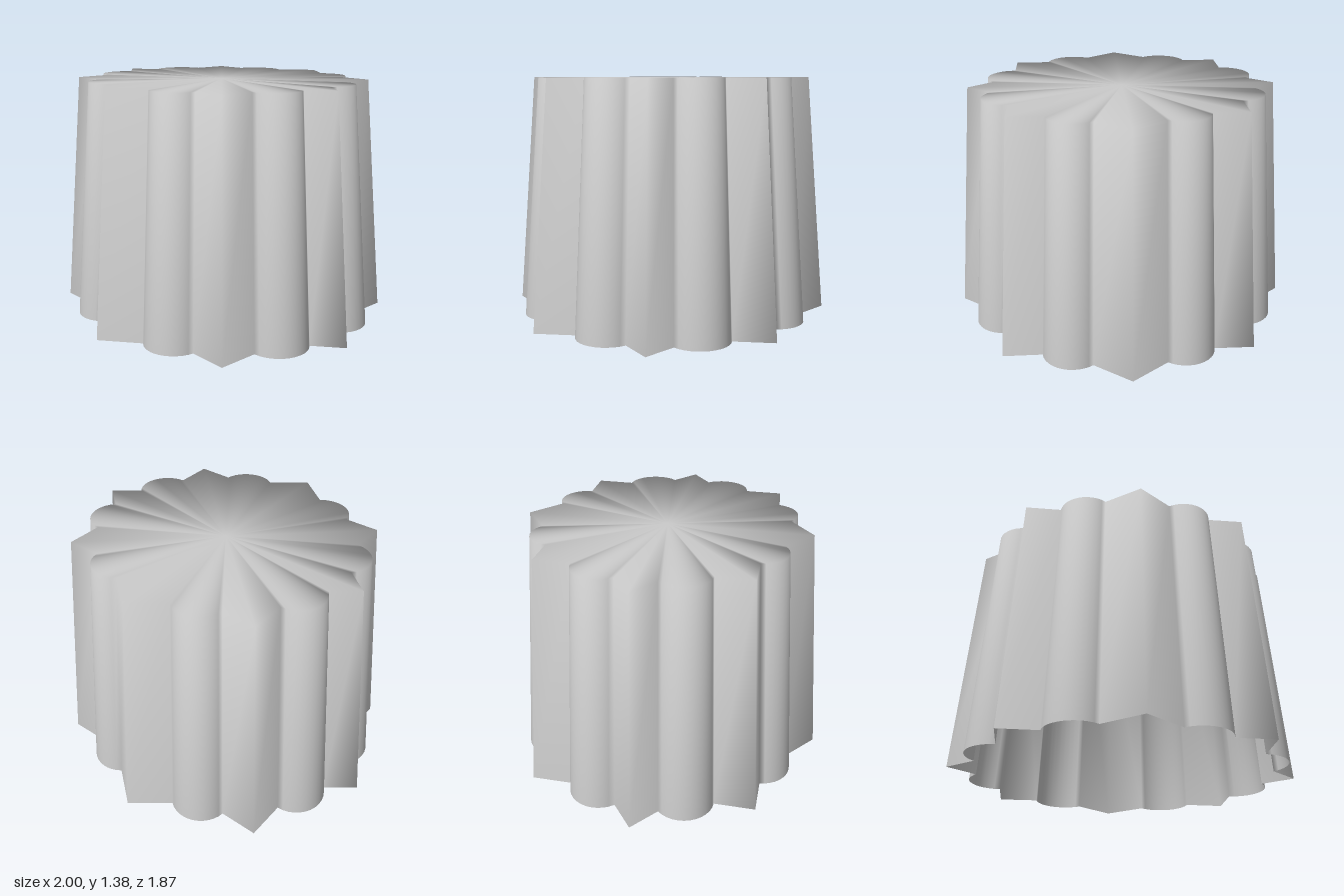
import * as THREE from 'three';

const HEIGHT = 1.375, TAPER = 0.88;

// Points on an arc in the ground plane, angles in degrees
function arc(cx, cz, r, from, to, steps = 12) {
  return Array.from({ length: steps + 1 }, (_, i) => {
    const a = THREE.MathUtils.degToRad(from + (to - from) * i / steps);
    return [cx + r * Math.cos(a), cz + r * Math.sin(a)];
  });
}

// Fluted outline: point, scallop, square corner, scallop, point; mirrored to four quadrants
function outline() {
  const quarter = [
    [1, 0],
    ...arc(0.715, 0.245, 0.175, -43, 90),
    [0.715, 0.655],
    ...arc(0.315, 0.635, 0.175, 6, 128),
    [0, 0.935],
  ];
  const flip = (sx, sz, reverse) => {
    const pts = quarter.map(([x, z]) => [x * sx, z * sz]);
    if (reverse) pts.reverse();
    return pts.slice(0, -1);
  };
  return [...flip(1, 1, false), ...flip(-1, 1, true), ...flip(-1, -1, false), ...flip(1, -1, true)];
}

export function createModel() {
  const ring = outline(), n = ring.length;
  const positions = [], index = [];

  // Bottom and top rings, then the middle of the cap
  for (const [y, s] of [[0, 1], [HEIGHT, TAPER]])
    for (const [x, z] of ring) positions.push(x * s, y, z * s);
  positions.push(0, HEIGHT, 0);

  // Tapered wall and flat cap share vertices for soft shading; the bottom stays open
  for (let i = 0; i < n; i++) {
    const j = (i + 1) % n;
    index.push(i, n + i, j, n + i, n + j, j);
    index.push(2 * n, n + j, n + i);
  }

  const geometry = new THREE.BufferGeometry();
  geometry.setAttribute('position', new THREE.Float32BufferAttribute(positions, 3));
  geometry.setIndex(index);
  geometry.computeVertexNormals();

  const shell = new THREE.Mesh(geometry,
    new THREE.MeshStandardMaterial({ color: 0xcccccc, side: THREE.DoubleSide }));
  shell.name = 'flutedShell';

  const group = new THREE.Group();
  group.name = 'flutedMould';
  group.add(shell);
  return group;
}
